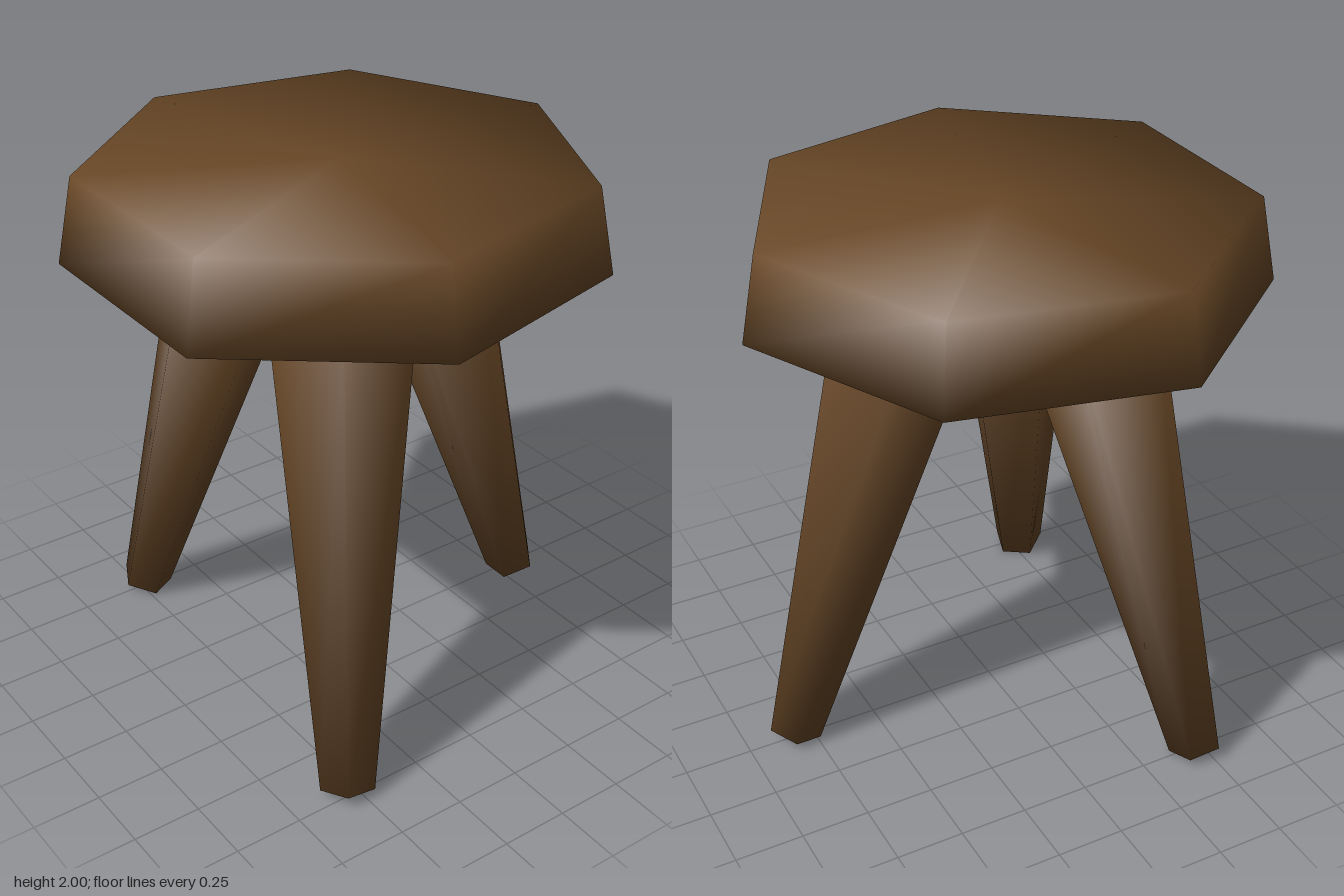
import * as THREE from 'three';
import { mergeVertices } from 'three/addons/utils/BufferGeometryUtils.js';

const wood = new THREE.MeshStandardMaterial({ color: 0x684726 });
wood.name = 'brown wood';

const SEAT_Z = 0.047; // centre of the seat along z
const TILT = 0.292; // outward splay of the legs

// Tapered prism with shared vertices and angle-weighted smooth normals
function softPrism(topRadius, bottomRadius, height, sides) {
  const raw = new THREE.CylinderGeometry(topRadius, bottomRadius, height, sides);
  raw.deleteAttribute('normal');
  raw.deleteAttribute('uv');
  const geo = mergeVertices(raw, 1e-4);
  geo.clearGroups();
  const pos = geo.attributes.position;
  const normals = Array.from({ length: pos.count }, () => new THREE.Vector3());
  for (let f = 0; f < geo.index.count; f += 3) {
    const ids = [0, 1, 2].map((k) => geo.index.getX(f + k));
    const p = ids.map((i) => new THREE.Vector3().fromBufferAttribute(pos, i));
    for (let k = 0; k < 3; k++) {
      const a = p[(k + 1) % 3].clone().sub(p[k]);
      const b = p[(k + 2) % 3].clone().sub(p[k]);
      const faceNormal = a.clone().cross(b).normalize();
      normals[ids[k]].addScaledVector(faceNormal, a.angleTo(b));
    }
  }
  const flat = normals.flatMap((n) => n.normalize().toArray());
  geo.setAttribute('normal', new THREE.Float32BufferAttribute(flat, 3));
  return geo;
}

export function createModel() {
  const stool = new THREE.Group();
  stool.name = 'stool';

  // Seven-sided seat, slightly narrower at the top, one corner at the back
  const seat = new THREE.Mesh(softPrism(0.887, 0.947, 0.31, 7), wood);
  seat.name = 'seat';
  seat.rotation.y = Math.PI;
  seat.position.set(0, 1.845, SEAT_Z);
  stool.add(seat);

  // Three splayed five-sided legs, one edge pointing outward
  const length = 1.855;
  const legGeometry = softPrism(0.272, 0.1, length, 5).translate(0, length / 2, 0);
  const feet = [
    ['frontRightLeg', -0.765, 0.466],
    ['frontLeftLeg', 0.727, 0.532],
    ['backLeg', 0.014, -0.814],
  ];
  for (const [name, x, z] of feet) {
    const leg = new THREE.Mesh(legGeometry, wood);
    leg.name = name;
    leg.position.set(x, 0.0233, z);
    leg.rotation.set(-TILT, Math.atan2(x, z - SEAT_Z), 0, 'YXZ');
    stool.add(leg);
  }
  return stool;
}
